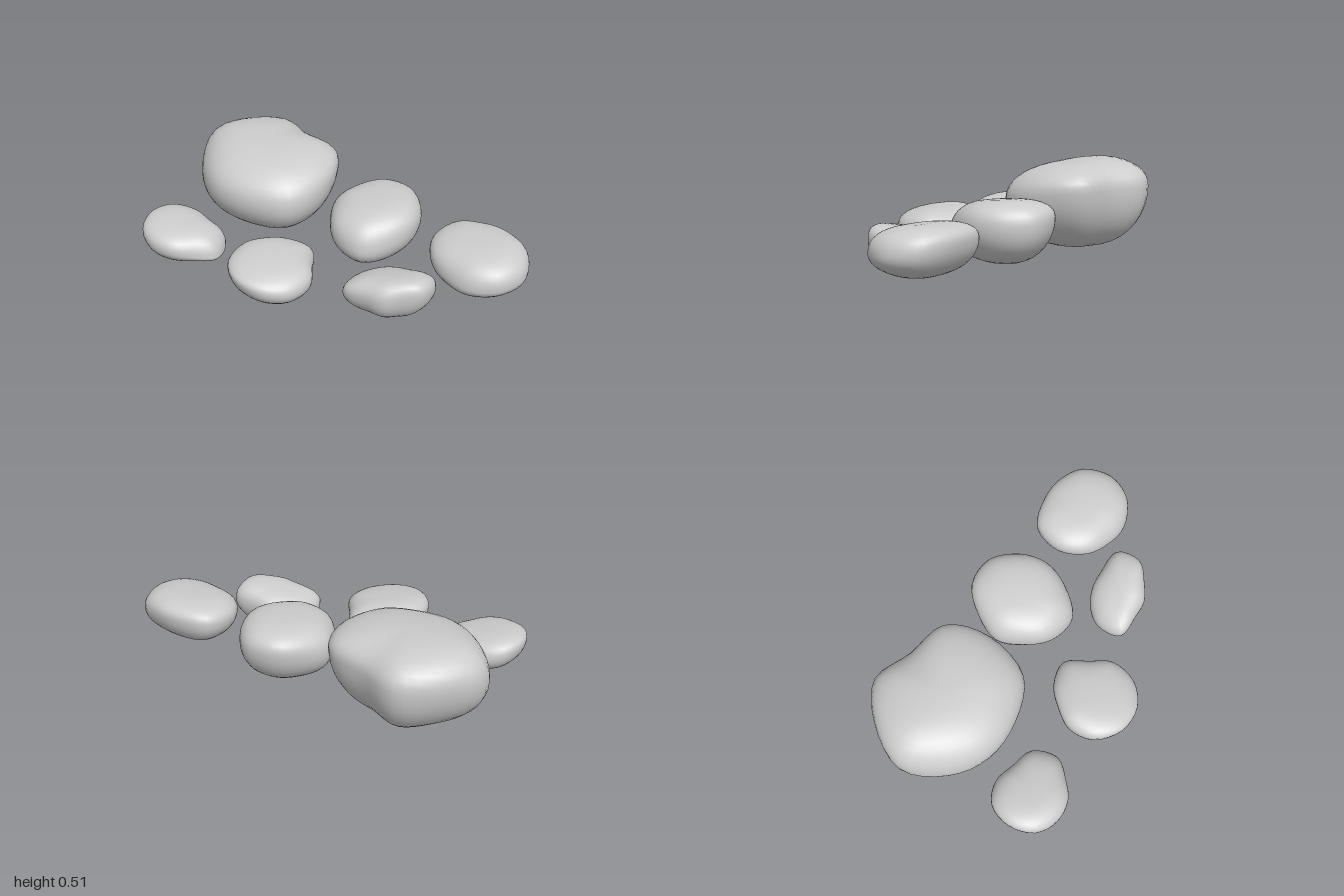
import * as THREE from 'three';
import { mergeVertices } from 'three/addons/utils/BufferGeometryUtils.js';

const material = new THREE.MeshStandardMaterial({ color: 0xcccccc });

// centre: [x, z]; radii: reach of the rim at equal angles, from +x towards +z
// rim, top: [height at centre, slope along x, slope along z]; bottom: lowest height
// taper: how much more the crown narrows towards front and back than sideways
function makeStone(name, { centre: [cx, cz], radii, rim, top, bottom, taper }, seed) {
  const contour = new THREE.CatmullRomCurve3(radii.map((r, k) => {
    const a = (k / radii.length) * Math.PI * 2;
    return new THREE.Vector3(r * Math.cos(a), 0, r * Math.sin(a));
  }), true);

  // Sphere reshaped to the contour, with a flattish sloping crown and a rounded belly
  let geo = new THREE.SphereGeometry(1, 40, 20);
  const pos = geo.attributes.position, uv = geo.attributes.uv;
  for (let i = 0; i < pos.count; i++) {
    const u = uv.getX(i);
    const lat = Math.asin(THREE.MathUtils.clamp(pos.getY(i), -1, 1));
    const upper = lat > 0;
    const p = contour.getPoint(1 - u);
    const crown = 0.6 + taper * p.z ** 2 / p.lengthSq();
    // soft lumps that fade out at the rim and poles
    const lump = 1 + 0.03 * Math.sin(2 * lat) * Math.sin(6 * Math.PI * u + seed * 1.7);
    const reach = Math.max(Math.cos(lat), 0) ** (upper ? crown : 0.9) * lump;
    const rise = Math.abs(Math.sin(lat)) ** (upper ? 0.85 : 1);
    p.multiplyScalar(reach);
    const plane = ([y, sx, sz]) => y + sx * p.x + sz * p.z;
    const y = THREE.MathUtils.lerp(plane(rim), upper ? plane(top) : bottom, rise);
    pos.setXYZ(i, cx + p.x, y, cz + p.z);
  }

  // Close the seam so the shading stays smooth
  geo.deleteAttribute('uv');
  geo.deleteAttribute('normal');
  geo = mergeVertices(geo, 1e-4);
  geo.computeVertexNormals();
  const mesh = new THREE.Mesh(geo, material);
  mesh.name = name;
  return mesh;
}

export function createModel() {
  const group = new THREE.Group();
  group.name = 'rocks';

  // Back row
  group.add(makeStone('largeBoulder', {
    centre: [-0.59, -0.23], rim: [0.32, 0.02, -0.13], top: [0.5, -0.05, -0.06], bottom: 0.02, taper: 0.3,
    radii: [0.405, 0.417, 0.362, 0.355, 0.365, 0.41, 0.372, 0.375, 0.305, 0.39],
  }, 0));
  group.add(makeStone('middleBoulder', {
    centre: [0.105, -0.245], rim: [0.22, 0, -0.14], top: [0.355, 0.04, -0.08], bottom: 0.03, taper: 0.05,
    radii: [0.245, 0.25, 0.285, 0.26, 0.232, 0.245, 0.24, 0.27, 0.28, 0.255],
  }, 1));
  group.add(makeStone('leftBoulder', {
    centre: [0.735, -0.25], rim: [0.2, -0.06, -0.16], top: [0.31, 0, -0.1], bottom: 0.06, taper: 0.1,
    radii: [0.265, 0.25, 0.225, 0.208, 0.235, 0.268, 0.278, 0.23, 0.225, 0.257],
  }, 2));

  // Front row
  group.add(makeStone('rightFrontStone', {
    centre: [-0.695, 0.37], rim: [0.14, -0.22, 0.05], top: [0.235, -0.14, 0], bottom: 0.04, taper: 0.1,
    radii: [0.225, 0.177, 0.182, 0.198, 0.22, 0.224, 0.225, 0.2, 0.173, 0.218],
  }, 3));
  group.add(makeStone('middleFrontStone', {
    centre: [-0.11, 0.34], rim: [0.16, -0.12, 0.02], top: [0.245, -0.1, -0.04], bottom: 0.02, taper: 0.2,
    radii: [0.22, 0.24, 0.248, 0.25, 0.242, 0.218, 0.188, 0.205, 0.235, 0.188],
  }, 4));
  group.add(makeStone('leftFrontStone', {
    centre: [0.455, 0.15], rim: [0.14, 0.14, 0.03], top: [0.23, 0.2, 0.05], bottom: 0, taper: 0.15,
    radii: [0.207, 0.148, 0.144, 0.152, 0.23, 0.202, 0.164, 0.145, 0.156, 0.235],
  }, 5));
  return group;
}
